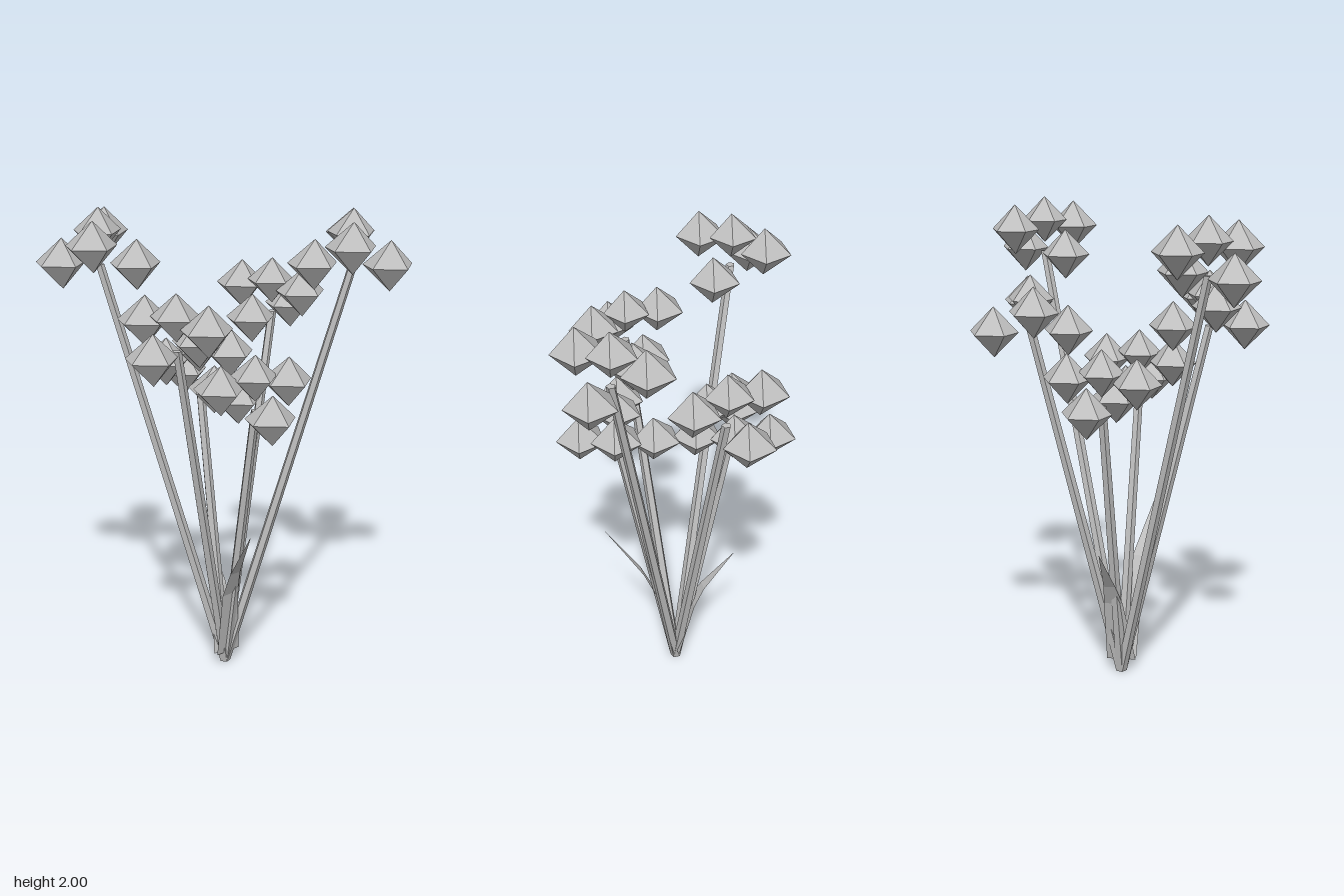
import * as THREE from 'three';

const grey = new THREE.MeshStandardMaterial({ color: 0xbfbfbf, flatShading: true, side: THREE.DoubleSide });
grey.name = 'plain grey';

// Non-indexed geometry from a list of corner points, three per face
function facesGeometry(corners) {
  const geo = new THREE.BufferGeometry();
  geo.setAttribute('position', new THREE.Float32BufferAttribute(corners.flat(), 3));
  geo.computeVertexNormals();
  return geo;
}

function addMesh(parent, geo, name) {
  const mesh = new THREE.Mesh(geo, grey);
  mesh.name = name;
  parent.add(mesh);
  return mesh;
}

// Flower bud: five-sided double pyramid
function budGeometry() {
  const ring = [[0.022, -0.102], [0.096, 0.002], [0, 0.102], [-0.095, 0.063], [-0.097, -0.058]]
    .map(([x, z]) => [x, 0, z]);
  const corners = [];
  ring.forEach((a, i) => {
    const b = ring[(i + 1) % ring.length];
    corners.push([0, 0.104, 0], b, a, [0, -0.104, 0], a, b);
  });
  return facesGeometry(corners);
}

// Stem: upright prism sheared so that its foot stays flat on the ground
function stemGeometry(x, y, z) {
  const geo = new THREE.CylinderGeometry(0.019, 0.024, y, 5, 1);
  geo.translate(0, y / 2, 0);
  const p = geo.attributes.position;
  for (let i = 0; i < p.count; i++) {
    const t = p.getY(i) / y;
    p.setX(i, p.getX(i) - 0.012 * (1 - t) + x * t);
    p.setZ(i, p.getZ(i) + z * t);
  }
  geo.computeVertexNormals();
  return geo;
}

// Leaf: strip through cross-sections [x, y, z, half width along z]
function leafGeometry(sections) {
  const corners = [];
  for (let i = 0; i + 1 < sections.length; i++) {
    const [a, b, c, d] = [sections[i], sections[i + 1]]
      .flatMap(([x, y, z, w]) => [[x, y, z - w], [x, y, z + w]]);
    corners.push(a, b, d, a, d, c);
  }
  return facesGeometry(corners);
}

export function createModel() {
  const model = new THREE.Group();
  model.name = 'flowerBunch';
  const bud = budGeometry();

  // Stem heads: x, height of stem end, z, turn of the bud cluster in degrees
  const heads = [
    [0.334, 1.77, -0.376, 45], [-0.344, 1.77, 0.376, 45],
    [-0.116, 1.5, -0.354, -15], [0.112, 1.5, 0.35, -15],
    [-0.235, 1.225, -0.049, 105], [0.228, 1.225, 0.046, 105],
  ];
  for (const [x, y, z, turn] of heads) {
    const flower = new THREE.Group();
    flower.name = 'flower';
    addMesh(flower, stemGeometry(x, y, z), 'stem');

    // Smaller top bud
    const top = addMesh(flower, bud, 'topBud');
    top.position.set(x, y + 0.133, z);
    top.scale.setScalar(0.935);

    // Four buds around it, alternately high and low
    for (let k = 0; k < 4; k++) {
      const a = THREE.MathUtils.degToRad(turn + 90 * k);
      addMesh(flower, bud, 'sideBud').position.set(
        x + 0.151 * Math.cos(a), y + (k % 2 ? 0 : 0.1), z + 0.151 * Math.sin(a));
    }
    model.add(flower);
  }

  // Two narrow leaves bending outward
  addMesh(model, leafGeometry([
    [0.01, 0.05, 0, 0.062], [0.07, 0.36, 0.04, 0.042], [0.125, 0.48, 0.06, 0.028], [0.285, 0.71, 0.117, 0.001],
  ]), 'leftLeaf');
  addMesh(model, leafGeometry([
    [-0.01, 0.05, 0, 0.062], [-0.08, 0.33, -0.025, 0.04], [-0.125, 0.42, -0.035, 0.025], [-0.256, 0.6, -0.06, 0.001],
  ]), 'rightLeaf');

  return model;
}
